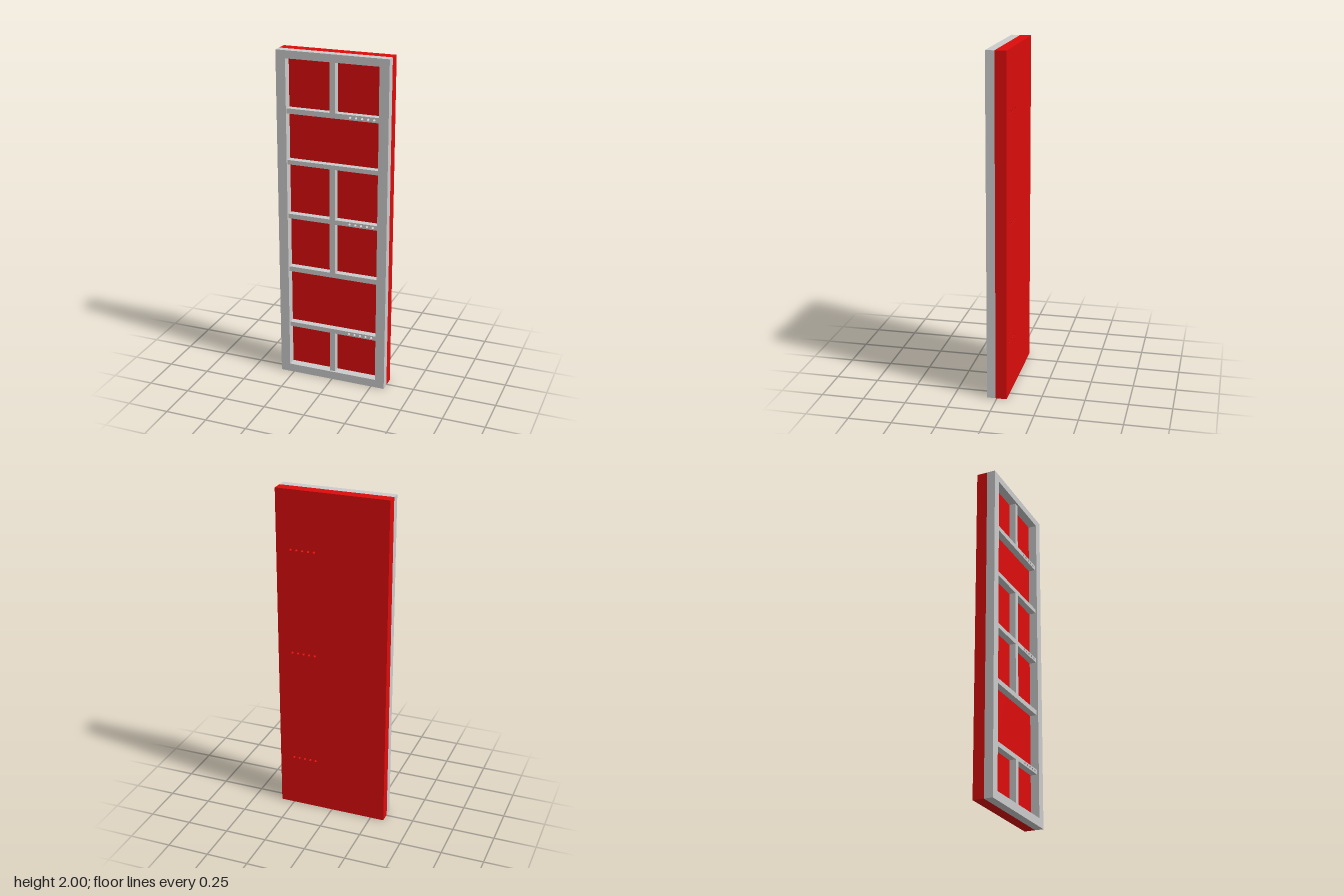
import * as THREE from 'three';

const grey = new THREE.MeshStandardMaterial({ color: 0xcccccc, flatShading: true });
const red = new THREE.MeshStandardMaterial({ color: 0xdd0c0c, flatShading: true });

const HALF = 0.332, BACK = -0.058, MID = 0.007, FRONT = 0.058, BAR_FRONT = 0.047;
const OPEN = { x0: -0.275, x1: 0.275, y0: 0.05, y1: 1.955 };
const HOLE_X = [0.105, 0.14, 0.175, 0.21, 0.245];
const HOLE_R = 0.007;

function rect(path, x0, x1, y0, y1) {
  path.moveTo(x0, y0);
  path.lineTo(x1, y0);
  path.lineTo(x1, y1);
  path.lineTo(x0, y1);
  path.closePath();
  return path;
}

// A row of small round holes along a horizontal line
function holeRow(y) {
  return HOLE_X.map((x) => new THREE.Path().absarc(x, y, HOLE_R, 0, Math.PI * 2, true));
}

// Flat slab with optional holes, running from z0 to z1
function slab(name, [x0, x1, y0, y1], z0, z1, material, holes = []) {
  const shape = rect(new THREE.Shape(), x0, x1, y0, y1);
  shape.holes.push(...holes);
  const geo = new THREE.ExtrudeGeometry(shape, { depth: z1 - z0, bevelEnabled: false, curveSegments: 10 });
  geo.translate(0, 0, z0);
  const mesh = new THREE.Mesh(geo, material);
  mesh.name = name;
  return mesh;
}

export function createModel() {
  const model = new THREE.Group();
  model.name = 'panelledDoor';

  // Crossbars from bottom to top: [lower edge, upper edge, has holes]
  const bars = [
    [0.306, 0.334, true],
    [0.670, 0.700, false],
    [1.007, 1.035, true],
    [1.338, 1.364, false],
    [1.638, 1.668, true],
  ];
  const drilled = bars.filter((b) => b[2]).map(([a, b]) => (a + b) / 2);

  // Solid backing panel, drilled right through
  model.add(slab('backPanel', [-HALF, HALF, 0, 2], BACK, MID, red, drilled.flatMap(holeRow)));

  // Raised outer frame
  const opening = rect(new THREE.Path(), OPEN.x0, OPEN.x1, OPEN.y0, OPEN.y1);
  model.add(slab('outerFrame', [-HALF, HALF, 0, 2], MID, FRONT, grey, [opening]));

  // Horizontal crossbars, slightly recessed behind the frame
  for (const [y0, y1, holes] of bars) {
    model.add(slab('crossbar', [OPEN.x0, OPEN.x1, y0, y1], MID, BAR_FRONT, grey,
      holes ? holeRow((y0 + y1) / 2) : []));
  }

  // Vertical dividers between the crossbars
  const spans = [
    [OPEN.y0, bars[0][0]],
    [bars[1][1], bars[2][0]],
    [bars[2][1], bars[3][0]],
    [bars[4][1], OPEN.y1],
  ];
  for (const [y0, y1] of spans) {
    model.add(slab('verticalDivider', [-0.017, 0.017, y0, y1], MID, BAR_FRONT, grey));
  }

  return model;
}
